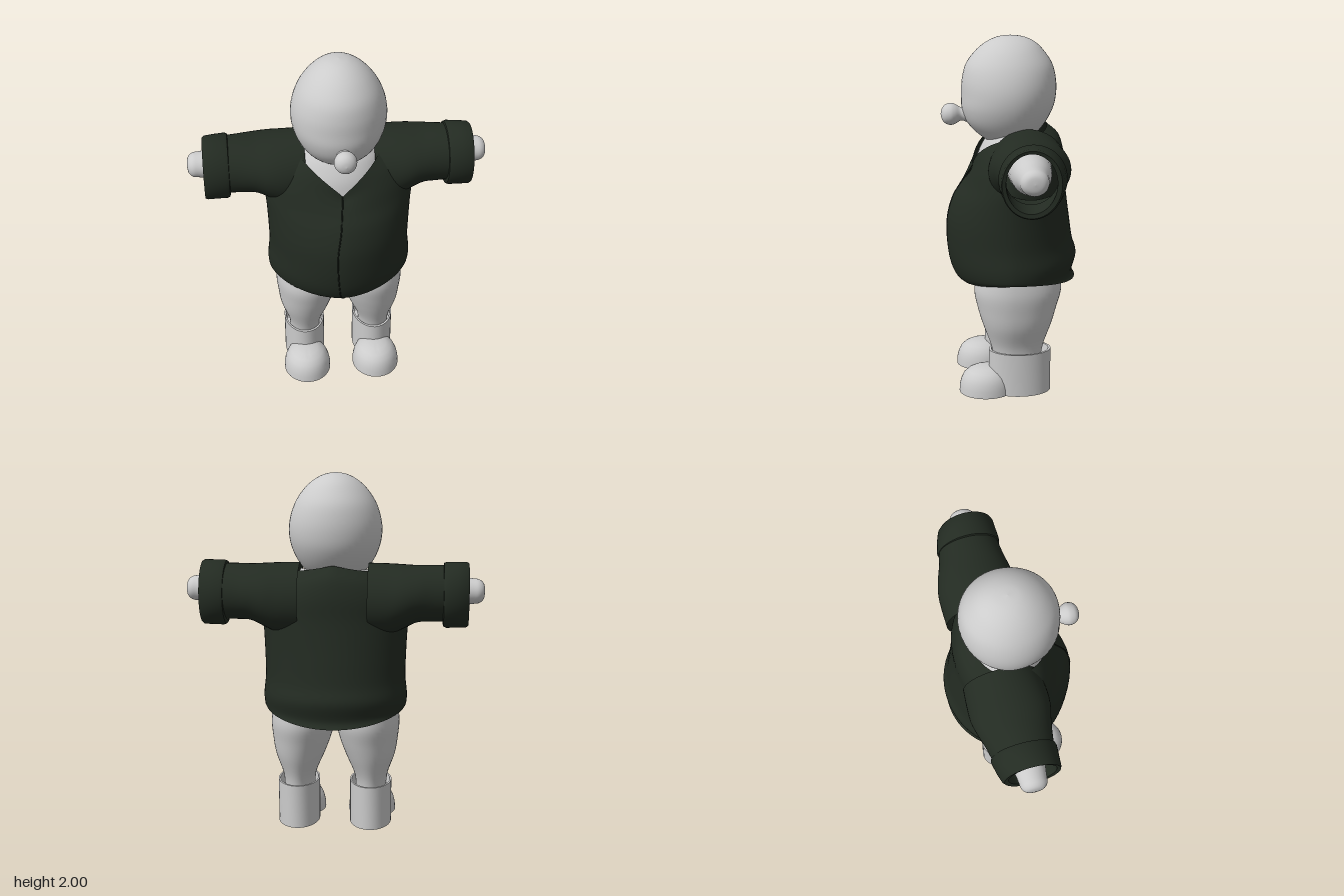
import * as THREE from 'three';
import { toCreasedNormals } from 'three/addons/utils/BufferGeometryUtils.js';

const grey = new THREE.MeshStandardMaterial({ color: 0xcccccc });
const greyOpen = new THREE.MeshStandardMaterial({ color: 0xcccccc, side: THREE.DoubleSide });
const cloth = new THREE.MeshStandardMaterial({ color: 0x232b22, side: THREE.DoubleSide });
const seamCloth = new THREE.MeshStandardMaterial({ color: 0x181e18 });

// Catmull-Rom interpolation between rows of numbers
function smooth(rows, steps = 5) {
  const out = [];
  for (let i = 0; i < rows.length - 1; i++) {
    const a = rows[Math.max(i - 1, 0)], b = rows[i], c = rows[i + 1], d = rows[Math.min(i + 2, rows.length - 1)];
    for (let k = 0; k < steps; k++) {
      const t = k / steps;
      out.push(b.map((v, n) => v + 0.5 * t * (c[n] - a[n] + t * (2 * a[n] - 5 * v + 4 * c[n] - d[n]
        + t * (3 * (v - c[n]) + d[n] - a[n])))));
    }
  }
  out.push(rows[rows.length - 1]);
  return out;
}

// Skin closed rings; place(row, angle) gives each point
function loft(rows, place, seg = 48) {
  const pos = [], idx = [];
  rows.forEach((row, i) => {
    for (let j = 0; j < seg; j++) {
      pos.push(...place(row, (j / seg) * Math.PI * 2));
      if (i === rows.length - 1) continue;
      const a = i * seg + j, b = i * seg + (j + 1) % seg;
      idx.push(a, b, a + seg, b, b + seg, a + seg);
    }
  });
  const geo = new THREE.BufferGeometry();
  geo.setAttribute('position', new THREE.Float32BufferAttribute(pos, 3));
  geo.setIndex(idx);
  geo.computeVertexNormals();
  return geo;
}

// Upright ring: [y, centre x, half width, front depth, back depth]
const upright = ([y, cx, rx, f, b], a) => [cx + rx * Math.sin(a), y, Math.cos(a) * (Math.cos(a) > 0 ? f : b)];
// Sideways ring for one side: [x, centre y, centre z, half height, half depth]
const sideways = (s) => ([x, cy, cz, ry, rz], a) => [s * x, cy + ry * Math.cos(a), cz + s * rz * Math.sin(a)];

// Jacket ring: [y front, y side, y back, half width, front, back, edge power]
function jacketRing([yf, ys, yb, rx, f, b, p], a) {
  const s = Math.sin(a), c = Math.cos(a), e = c > 0 ? 2 / 1.8 : 1;
  const w = Math.pow(Math.abs(s), p);
  return [rx * Math.sign(s) * Math.pow(Math.abs(s), e),
    (c > 0 ? yf : yb) * (1 - w) + ys * w,
    c > 0 ? f * Math.pow(c, e) : b * c];
}

export function createModel() {
  const model = new THREE.Group();
  const add = (name, geo, mat = grey) => {
    const mesh = new THREE.Mesh(geo, mat);
    mesh.name = name;
    model.add(mesh);
    return mesh;
  };

  // Head and nose
  add('head', loft(smooth([
    [1.385, 0, 0.001, 0.001, 0.001], [1.4, 0, 0.08, 0.085, 0.06], [1.45, 0, 0.16, 0.17, 0.135],
    [1.52, 0, 0.214, 0.238, 0.195], [1.6, 0, 0.248, 0.268, 0.238], [1.68, 0, 0.26, 0.27, 0.255],
    [1.76, 0, 0.251, 0.266, 0.254], [1.84, 0, 0.222, 0.245, 0.235], [1.91, 0, 0.175, 0.195, 0.19],
    [1.96, 0, 0.12, 0.135, 0.14], [1.99, 0, 0.06, 0.07, 0.075], [2, 0, 0.001, 0.001, 0.001],
  ]), upright));
  const noseProfile = smooth([[0.06, 0], [0.042, 0.035], [0.038, 0.06], [0.055, 0.09], [0.061, 0.115],
    [0.052, 0.145], [0.03, 0.163], [0, 0.17]]).map(([r, y]) => new THREE.Vector2(Math.max(r, 0), y));
  const nose = add('nose', new THREE.LatheGeometry(noseProfile, 28).rotateX(Math.PI / 2));
  nose.position.set(0, 1.567, 0.215);

  // Shirt seen in the open neck
  add('shirt', loft(smooth([
    [1.12, 0, 0.32, 0.23, 0.24], [1.25, 0, 0.28, 0.2, 0.23], [1.34, 0, 0.25, 0.18, 0.2],
    [1.42, 0, 0.225, 0.14, 0.17], [1.47, 0, 0.19, 0.1, 0.14],
  ]), upright));

  // Jacket body with curved hem and V neck
  add('jacketBody', loft(smooth([
    [0.615, 0.68, 0.63, 0.395, 0.28, 0.37, 2], [0.65, 0.7, 0.67, 0.405, 0.315, 0.352, 2],
    [0.73, 0.76, 0.77, 0.408, 0.345, 0.376, 2], [0.85, 0.86, 0.86, 0.398, 0.36, 0.352, 2],
    [0.98, 0.98, 0.99, 0.4, 0.356, 0.333, 2], [1.1, 1.1, 1.1, 0.405, 0.32, 0.318, 1.5],
    [1.18, 1.2, 1.22, 0.41, 0.27, 0.305, 1], [1.22, 1.31, 1.35, 0.39, 0.24, 0.3, 1],
    [1.245, 1.4, 1.45, 0.33, 0.22, 0.27, 1], [1.27, 1.46, 1.51, 0.23, 0.212, 0.205, 1],
  ]), jacketRing, 64), cloth);
  const seam = [[0, 1.27, 0.212], [-0.01, 1.18, 0.27], [-0.02, 1.1, 0.319], [-0.04, 0.97, 0.354],
    [-0.04, 0.85, 0.357], [-0.03, 0.72, 0.34], [-0.02, 0.65, 0.313], [0, 0.615, 0.28]];
  add('jacketSeam', new THREE.TubeGeometry(
    new THREE.CatmullRomCurve3(seam.map((p) => new THREE.Vector3(...p))), 40, 0.004, 6), seamCloth);

  // Hips inside the hem
  add('hips', loft(smooth([
    [0.56, 0, 0.03, 0.06, 0.08], [0.6, 0, 0.22, 0.17, 0.22], [0.67, 0, 0.355, 0.235, 0.295],
    [0.8, 0, 0.36, 0.24, 0.29], [0.95, 0, 0.3, 0.22, 0.25], [1, 0, 0.001, 0.001, 0.001],
  ]), upright));

  for (const s of [1, -1]) {
    const side = s > 0 ? 'left' : 'right';

    // Sleeve, folded cuff, and hand
    add(side + 'Sleeve', loft(smooth([
      [0.19, 1.31, -0.085, 0.2, 0.21], [0.3, 1.31, -0.08, 0.197, 0.22], [0.38, 1.325, -0.08, 0.178, 0.218],
      [0.46, 1.342, -0.08, 0.157, 0.2], [0.54, 1.344, -0.075, 0.156, 0.18], [0.64, 1.343, -0.07, 0.156, 0.162],
    ]), sideways(s)), cloth);
    add(side + 'Cuff', toCreasedNormals(loft([
      [0.6, 1.338, -0.07, 0.155, 0.158], [0.605, 1.336, -0.07, 0.176, 0.174], [0.62, 1.335, -0.07, 0.182, 0.178],
      [0.68, 1.335, -0.065, 0.182, 0.17], [0.73, 1.335, -0.058, 0.182, 0.16], [0.742, 1.335, -0.055, 0.174, 0.152],
      [0.738, 1.338, -0.053, 0.155, 0.13], [0.68, 1.338, -0.06, 0.15, 0.132], [0.58, 1.338, -0.068, 0.145, 0.14],
    ], sideways(s)), 0.7), cloth);
    add(side + 'Hand', loft(smooth([
      [0.4, 1.345, -0.07, 0.12, 0.12], [0.6, 1.35, -0.065, 0.105, 0.105], [0.7, 1.355, -0.062, 0.08, 0.085],
      [0.76, 1.357, -0.062, 0.071, 0.076], [0.8, 1.357, -0.062, 0.065, 0.07], [0.825, 1.357, -0.062, 0.042, 0.046],
      [0.832, 1.357, -0.062, 0.001, 0.001],
    ]), sideways(s), 32));

    // Leg
    add(side + 'Leg', loft(smooth([
      [0.15, s * 0.207, 0.088, 0.1, 0.155], [0.27, s * 0.207, 0.094, 0.122, 0.172],
      [0.4, s * 0.202, 0.142, 0.168, 0.218], [0.5, s * 0.192, 0.168, 0.197, 0.248],
      [0.6, s * 0.185, 0.183, 0.215, 0.275], [0.7, s * 0.18, 0.175, 0.2, 0.27],
    ]), upright));

    // Boot shaft with open rim, and rounded toe
    const shaft = [[0, 0], [1, 0], [1, 0.25], [0.92, 0.25], [0.86, 0.19], [0, 0.19]]
      .map(([r, y]) => new THREE.Vector2(r, y));
    const boot = add(side + 'BootShaft', toCreasedNormals(
      new THREE.LatheGeometry(shaft, 40).scale(0.119, 1, 0.176), 0.6), greyOpen);
    boot.position.set(s * 0.207, 0, -0.04);
    const toe = [[0, 0], [1, 0], [0.985, 0.25], [0.93, 0.48], [0.84, 0.68], [0.68, 0.84], [0.46, 0.95], [0.22, 0.99], [0, 1]]
      .map(([r, y]) => new THREE.Vector2(r, y));
    const cap = add(side + 'BootToe', toCreasedNormals(
      new THREE.LatheGeometry(toe, 40).scale(0.138, 0.15, 0.155), 0.7));
    cap.position.set(s * 0.207, 0, 0.15);
  }
  return model;
}
